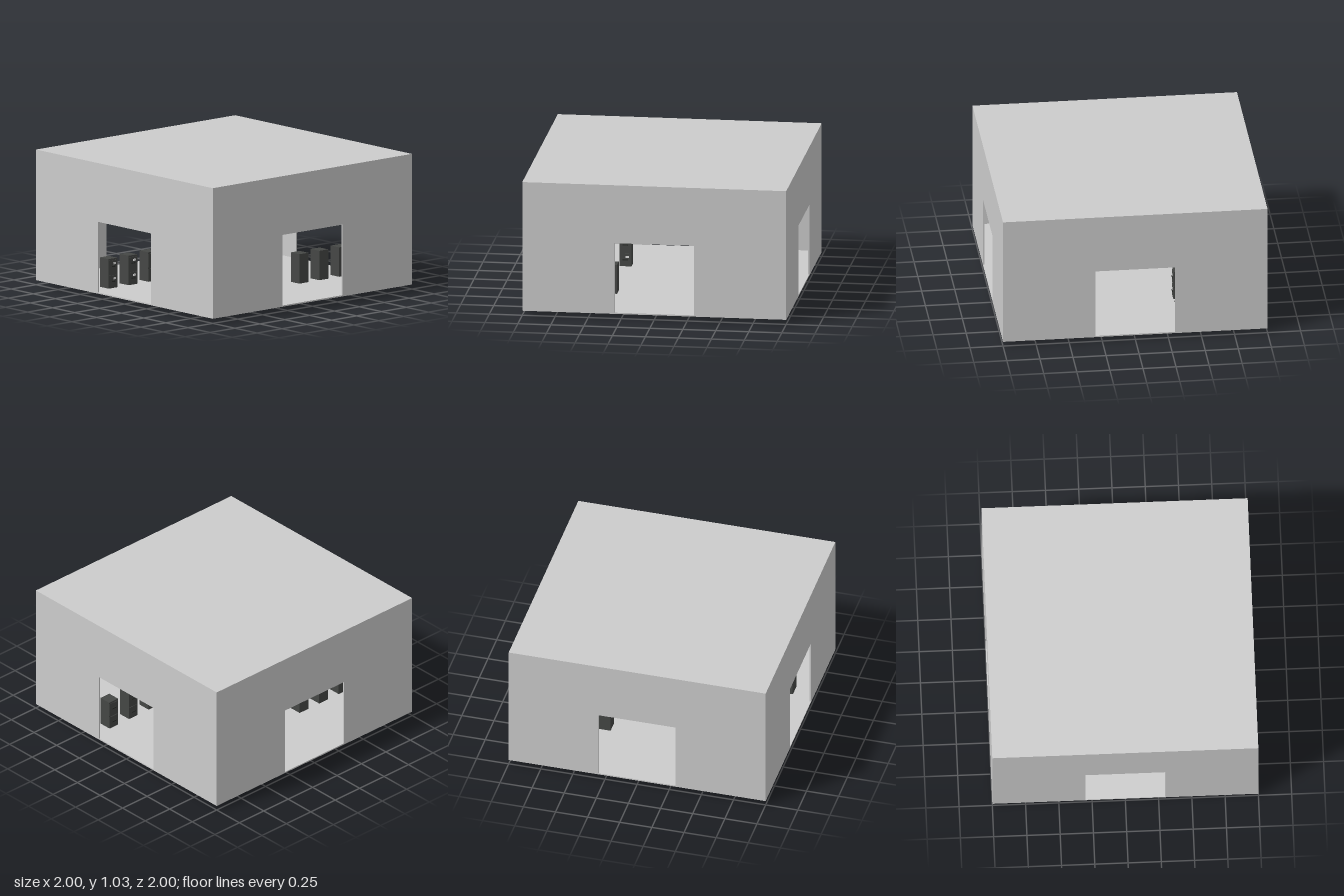
import * as THREE from 'three';

const mat = (name, color) => {
  const m = new THREE.MeshStandardMaterial({ color });
  m.name = name;
  return m;
};

export function createModel() {
  const wallGrey = mat('wallGrey', 0xcccccc);
  const cabinetGrey = mat('cabinetGrey', 0x454745);
  const handleGrey = mat('handleGrey', 0x2c2e2c);
  const labelWhite = mat('labelWhite', 0xe6e6e6);
  const T = 0.01, Y0 = 0.035, Y1 = 1.035;

  const add = (parent, name, geo, material, x = 0, y = 0, z = 0) => {
    const mesh = new THREE.Mesh(geo, material);
    mesh.name = name;
    mesh.position.set(x, y, z);
    parent.add(mesh);
    return mesh;
  };

  const model = new THREE.Group();
  model.name = 'storageRoom';

  // Floor and roof slabs
  const slab = new THREE.BoxGeometry(2, T, 2);
  add(model, 'floor', slab, wallGrey, 0, Y0 + T / 2, 0);
  add(model, 'roof', slab, wallGrey, 0, Y1 - T / 2, 0);

  // Wall panel with a doorway reaching down to the floor
  const wallGeometry = (half) => {
    const b = Y0 + T, t = Y1 - T, door = 0.3, top = 0.585;
    const shape = new THREE.Shape([
      [-half, b], [-door, b], [-door, top], [door, top],
      [door, b], [half, b], [half, t], [-half, t],
    ].map(([x, y]) => new THREE.Vector2(x, y)));
    return new THREE.ExtrudeGeometry(shape, { depth: T, bevelEnabled: false });
  };
  ['front', 'left', 'back', 'right'].forEach((side, i) => {
    const geo = wallGeometry(i % 2 ? 1 - T : 1);
    geo.translate(0, 0, 1 - T);
    add(model, side + 'Wall', geo, wallGrey).rotation.y = i * Math.PI / 2;
  });

  // Cabinet body: side profile with trimmed lower edges, extruded across its width
  const W = 0.09;
  const profile = new THREE.Shape([
    [-0.044, 0], [0.04, 0], [0.047, 0.008], [0.047, 0.27], [-0.05, 0.27], [-0.05, 0.006],
  ].map(([z, y]) => new THREE.Vector2(z, y)));
  const bodyGeo = new THREE.ExtrudeGeometry(profile, { depth: W, bevelEnabled: false });
  bodyGeo.translate(0, 0, -W / 2);
  bodyGeo.rotateY(-Math.PI / 2);
  const drawerGeo = new THREE.BoxGeometry(0.08, 0.104, 0.005);
  const handleGeo = new THREE.BoxGeometry(0.04, 0.009, 0.008);
  const labelGeo = new THREE.BoxGeometry(0.026, 0.016, 0.003);

  const makeCabinet = (labelled) => {
    const cabinet = new THREE.Group();
    cabinet.name = 'filingCabinet';
    add(cabinet, 'cabinetBody', bodyGeo, cabinetGrey);
    for (const y of [0.09, 0.205]) {
      add(cabinet, 'drawer', drawerGeo, cabinetGrey, 0, y, 0.0485);
      add(cabinet, 'drawerHandle', handleGeo, handleGrey, 0, y + 0.006, 0.053);
      if (labelled) add(cabinet, 'drawerLabel', labelGeo, labelWhite, 0.014, y + 0.028, 0.051);
    }
    return cabinet;
  };

  // Two facing rows, each with three cabinets either side of the doorway
  for (const row of [-1, 1]) {
    for (const x of [-0.8, -0.6, -0.4, 0.4, 0.6, 0.8]) {
      const cabinet = makeCabinet(row < 0);
      cabinet.position.set(x, 0, row * 0.403);
      if (row > 0) cabinet.rotation.y = Math.PI;
      model.add(cabinet);
    }
  }
  return model;
}
